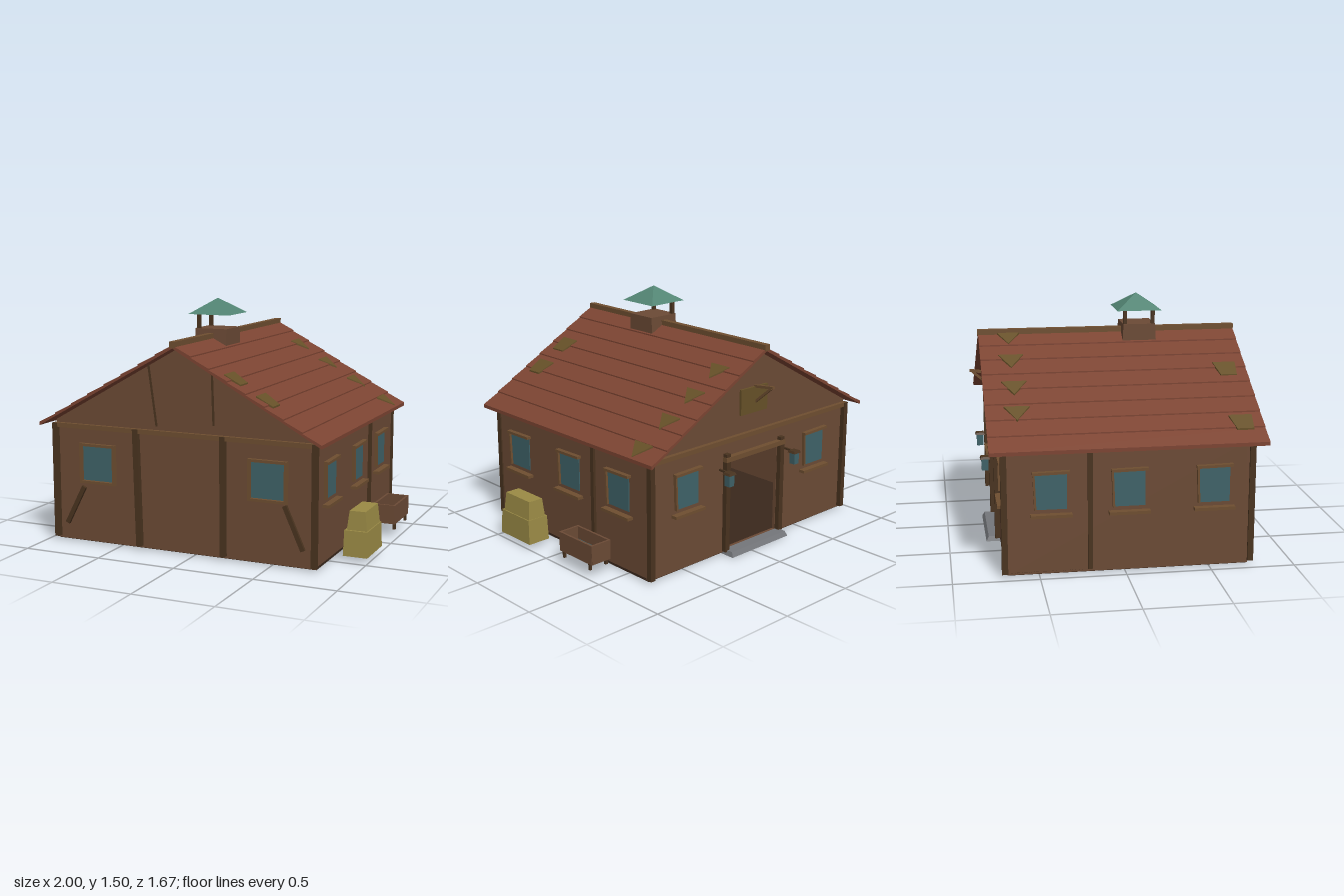
import * as THREE from 'three';
import { ConvexGeometry } from 'three/addons/geometries/ConvexGeometry.js';

const mat = (color) => new THREE.MeshStandardMaterial({ color, flatShading: true, side: THREE.DoubleSide });
const WALL = mat(0x6b4a35), BEAM = mat(0x49331f), FRAME = mat(0x6e4e30), ROOF = mat(0x7c4432),
  PATCH = mat(0x665028), GLASS = mat(0x3f6268), COPPER = mat(0x528473), HAY = mat(0x9a8a45),
  STONE = mat(0x74767a), FLOOR = mat(0x3a281c);

const CX = -0.08, RIDGE = 1.275, SLOPE = 0.565, HALF = 0.92;
const XL = -0.94, XR = 0.78, ZF = 0.73, ZB = -0.685;

export function createModel() {
  const root = new THREE.Group();
  root.name = 'barn';
  const add = (name, geo, material, x = 0, y = 0, z = 0, parent = root) => {
    const m = new THREE.Mesh(geo, material);
    m.name = name;
    m.position.set(x, y, z);
    parent.add(m);
    return m;
  };
  // box given by its ranges
  const span = (name, material, [x0, x1], [y0, y1], [z0, z1], parent = root) =>
    add(name, new THREE.BoxGeometry(x1 - x0, y1 - y0, z1 - z0), material,
      (x0 + x1) / 2, (y0 + y1) / 2, (z0 + z1) / 2, parent);
  // timber between two points
  const timber = (name, a, b, w, d = w, material = BEAM) => {
    const A = new THREE.Vector3(...a), B = new THREE.Vector3(...b);
    const m = add(name, new THREE.BoxGeometry(w, d, A.distanceTo(B)), material);
    m.position.copy(A).add(B).multiplyScalar(0.5);
    m.lookAt(B);
    return m;
  };
  // box whose top is scaled, standing on its base
  const taper = (w, h, d, sx, sz) => {
    const g = new THREE.BoxGeometry(w, h, d).translate(0, h / 2, 0), p = g.attributes.position;
    for (let i = 0; i < p.count; i++) if (p.getY(i) > h / 2) p.setXYZ(i, p.getX(i) * sx, h, p.getZ(i) * sz);
    g.computeVertexNormals();
    return g;
  };

  // Gable walls, the back one with an open doorway
  const gable = (door) => {
    const s = new THREE.Shape([[XL, 0.012], [XR, 0.012], [XR, 0.764], [CX, 1.25], [XL, 0.764]]
      .map((p) => new THREE.Vector2(...p)));
    if (door) s.holes.push(new THREE.Path([[-0.3, 0.03], [-0.3, 0.6], [0.14, 0.6], [0.14, 0.03]]
      .map((p) => new THREE.Vector2(...p))));
    return new THREE.ExtrudeGeometry(s, { depth: 0.02, bevelEnabled: false });
  };
  add('frontWall', gable(false), WALL, 0, 0, ZF - 0.02);
  add('backWall', gable(true), WALL, 0, 0, ZB);
  span('leftWall', WALL, [XR - 0.02, XR], [0.012, 0.764], [ZB, ZF]);
  span('rightWall', WALL, [XL, XL + 0.02], [0.012, 0.764], [ZB, ZF]);
  span('floor', FLOOR, [XL, XR], [0.01, 0.025], [ZB, ZF]);

  // Roof slopes with stepped shingle courses
  const N = 8;
  for (const s of [1, -1]) {
    const pts = [[0, 0]];
    for (let i = 0; i < N; i++) {
      const d0 = (i / N) * HALF, d1 = ((i + 1) / N) * HALF;
      pts.push([d0, -SLOPE * d0 - 0.004], [d1, -SLOPE * d1 + 0.004]);
    }
    pts.push([HALF, -SLOPE * HALF - 0.018], [0, -0.022]);
    const shape = new THREE.Shape(pts.map(([d, y]) => new THREE.Vector2(CX + s * d, RIDGE + y)));
    add(s > 0 ? 'leftRoofSlope' : 'rightRoofSlope',
      new THREE.ExtrudeGeometry(shape, { depth: 1.61, bevelEnabled: false }), ROOF, 0, 0, -0.78);
  }
  span('ridgeBeam', FRAME, [-0.1, -0.062], [1.255, 1.293], [-0.785, 0.832]);

  // Worn patches lying on the roof
  const patch = (s, corners) => {
    const pts = [];
    for (const [d, z] of corners) for (const off of [0.008, -0.015])
      pts.push(new THREE.Vector3(CX + s * d, RIDGE - SLOPE * d + off, z));
    add('roofPatch', new ConvexGeometry(pts), PATCH);
  };
  const worn = [[1, [0.2, 0.4, 0.6, 0.81], [0.3, 0.5]], [-1, [0.01, 0.2, 0.41, 0.6], [0.31, 0.72]]];
  for (const [s, triangles, quads] of worn) {
    for (const d of triangles) patch(s, [[d, -0.67], [d, -0.52], [d + 0.1, -0.6]]);
    for (const d of quads) patch(s, [[d, 0.63], [d + 0.1, 0.66], [d + 0.1, 0.76], [d, 0.77]]);
  }

  // Cupola
  add('cupolaBase', taper(0.21, 0.11, 0.21, 1, 0.95), WALL, CX, 1.21, 0.213);
  for (const z of [0.3, 0.125]) timber('cupolaPost', [-0.165, 1.3, z], [-0.165, 1.42, z], 0.022);
  add('cupolaRoof', new THREE.ConeGeometry(0.275 / Math.SQRT2, 0.095, 4).rotateY(Math.PI / 4), COPPER, CX, 1.455, 0.208);

  // Posts and tie beams
  for (const x of [-0.937, -0.37, 0.2, 0.772]) {
    const lean = x === -0.37 ? 0.012 : 0;
    timber('frontPost', [x + lean, 0.025, 0.745], [x - lean / 2, 0.745, 0.745], 0.032, 0.035);
  }
  for (const x of [-0.937, -0.32, 0.16, 0.772])
    timber('backPost', [x, 0.02, -0.698], [x, Math.abs(x) < 0.5 ? 0.65 : 0.745, -0.698], 0.034, 0.035);
  timber('frontTieBeam', [-0.94, 0.733, 0.74], [0.775, 0.733, 0.74], 0.03, 0.028, FRAME);
  timber('backTieBeam', [-0.94, 0.733, -0.697], [0.775, 0.733, -0.697], 0.03, 0.028, FRAME);
  timber('doorLintel', [-0.34, 0.615, -0.7], [0.18, 0.615, -0.7], 0.04, 0.03, FRAME);
  for (const x of [XL - 0.003, XR + 0.003])
    timber('sidePost', [x, 0.03, -0.205], [x, 0.745, -0.205], 0.028, 0.028);

  // Front braces and split boards in the gable
  timber('frontBrace', [-0.745, 0.355, 0.738], [-0.87, 0.115, 0.738], 0.018, 0.028);
  timber('frontBrace', [0.585, 0.37, 0.738], [0.7, 0.115, 0.738], 0.018, 0.028);
  for (const [x0, y0, x1, y1] of [[-0.29, 1.14, -0.24, 0.77], [0.125, 1.13, 0.135, 0.8]])
    timber('gableBoard', [x0, y0, 0.731], [x1, y1, 0.731], 0.01, 0.012);

  // Windows, built facing +z and turned to their wall
  const windowAt = (x, y, z, turn, boxed) => {
    const g = new THREE.Group();
    g.name = 'window';
    g.position.set(x, y, z);
    g.rotation.y = turn;
    root.add(g);
    const w = boxed ? 0.105 : 0.092, h = 0.107;
    span('glass', GLASS, [-w, w], [-h, h], [-0.01, 0.006], g);
    if (boxed) {
      for (const s of [-1, 1]) {
        add('frameSide', new THREE.BoxGeometry(0.018, 0.25, 0.03), FRAME, s * 0.114, 0, 0.01, g);
        add('frameRail', new THREE.BoxGeometry(0.246, 0.016, 0.03), FRAME, 0, s * 0.116, 0.01, g);
      }
    } else {
      add('lintel', new THREE.BoxGeometry(0.215, 0.016, 0.035), FRAME, 0, 0.112, 0.012, g).rotation.z = 0.02;
      add('sill', new THREE.BoxGeometry(0.24, 0.018, 0.05), FRAME, 0, -0.14, 0.015, g);
      add('jamb', new THREE.BoxGeometry(0.012, 0.215, 0.025), FRAME, -w - 0.003, 0, 0.008, g).rotation.z = 0.04;
    }
  };
  for (const x of [-0.645, 0.48]) {
    windowAt(x, 0.505, ZF, 0, true);
    windowAt(x, 0.505, ZB, Math.PI, false);
  }
  for (const z of [0.52, 0.022, -0.43]) {
    windowAt(XR, 0.505, z, Math.PI / 2, false);
    windowAt(XL, 0.505, z, -Math.PI / 2, false);
  }

  // Doorstep, loft hatch and hoist on the back
  add('doorStep', taper(0.5, 0.03, 0.1, 0.96, 0.7), STONE, CX, 0, -0.72);
  span('loftHatch', PATCH, [-0.185, 0.045], [0.86, 1.02], [-0.7, -0.68]);
  timber('hoistBeam', [-0.085, 1.02, -0.69], [-0.085, 1.038, -0.838], 0.02, 0.016, FRAME);
  timber('hoistBrace', [-0.085, 0.92, -0.69], [-0.085, 1.03, -0.82], 0.014, 0.014, FRAME);

  // Lanterns beside the door
  for (const x of [-0.37, 0.21]) {
    add('lanternBody', taper(0.04, 0.075, 0.04, 1.1, 1.1), GLASS, x, 0.478, -0.77);
    add('lanternCap', taper(0.06, 0.014, 0.06, 0.8, 0.8), BEAM, x, 0.55, -0.77);
    timber('lanternArm', [x, 0.558, -0.69], [x, 0.558, -0.77], 0.012);
  }

  // Hay bales
  add('lowerHayBale', taper(0.15, 0.155, 0.29, 0.94, 0.95), HAY, 0.92, 0.03, 0.317);
  add('upperHayBale', taper(0.125, 0.12, 0.255, 0.78, 0.94), HAY, 0.922, 0.18, 0.312);

  // Water trough
  const tx = 0.915, tz = -0.272;
  for (const s of [-1, 1]) {
    timber('troughSide', [tx + s * 0.066, 0.15, tz - 0.148], [tx + s * 0.066, 0.15, tz + 0.148], 0.014, 0.12, WALL);
    timber('troughEnd', [tx - 0.07, 0.15, tz + s * 0.145], [tx + 0.07, 0.15, tz + s * 0.145], 0.014, 0.12, WALL);
    for (const t of [-1, 1])
      timber('troughLeg', [tx + s * 0.06, 0.05, tz + t * 0.12], [tx + s * 0.06, 0.11, tz + t * 0.12], 0.016);
  }
  span('troughBottom', WALL, [tx - 0.07, tx + 0.07], [0.09, 0.104], [tz - 0.145, tz + 0.145]);
  span('troughWater', GLASS, [tx - 0.06, tx + 0.06], [0.104, 0.13], [tz - 0.138, tz + 0.138]);

  return root;
}
